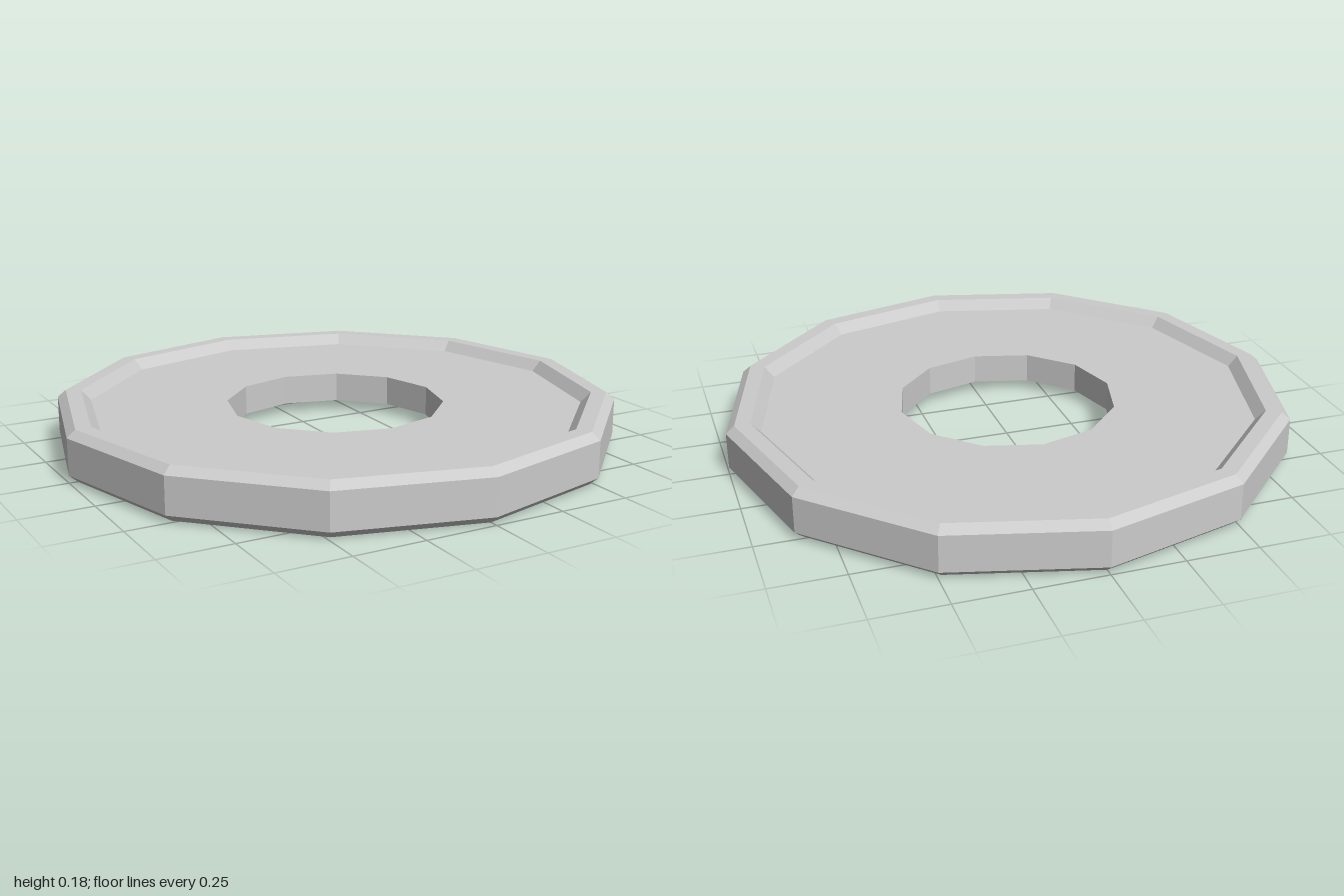
import * as THREE from 'three';

const SIDES = 12;
const HEIGHT = 0.18;
const RECESS = 0.037; // depth of the sunken face on both sides
const BEVEL = 0.026;

export function createModel() {
  const group = new THREE.Group();
  group.name = 'disc';
  const material = new THREE.MeshStandardMaterial({ color: 0xcccccc, flatShading: true });

  // Upper half of the cross-section, from outer wall to centre hole
  const upper = [
    [1, HEIGHT - BEVEL],
    [0.97, HEIGHT],
    [0.915, HEIGHT],
    [0.88, HEIGHT - RECESS],
    [0.388, HEIGHT - RECESS],
  ];
  // Mirror it for the underside and close the loop
  const lower = upper.map(([r, y]) => [r, HEIGHT - y]).reverse();
  const profile = [...upper, ...lower, upper[0]].map(([r, y]) => new THREE.Vector2(r, y));

  // Twelve-sided ring with raised rims and a centre hole
  const ring = new THREE.Mesh(new THREE.LatheGeometry(profile, SIDES), material);
  ring.name = 'rimmedRing';
  group.add(ring);
  return group;
}
